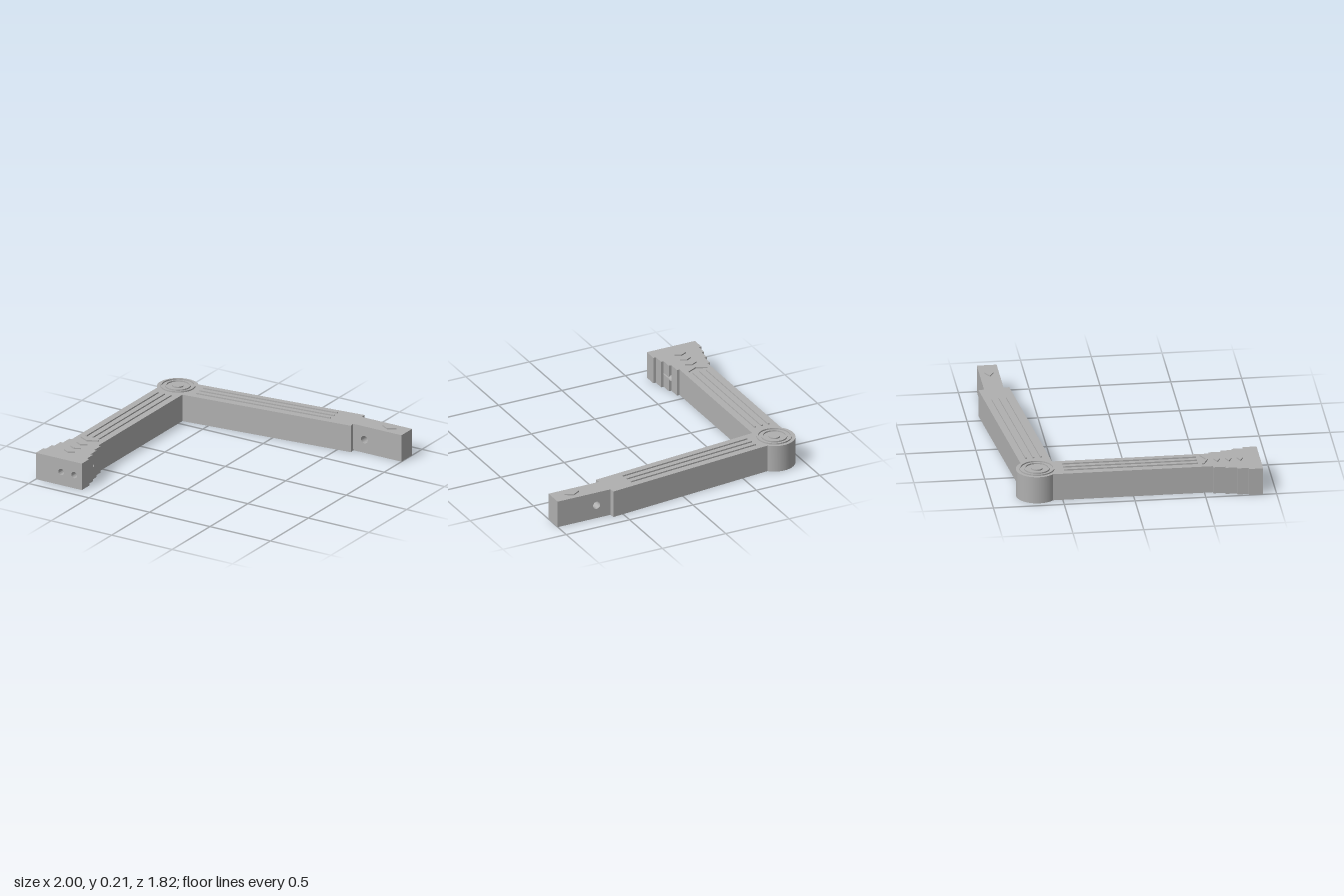
import * as THREE from 'three';
import { toCreasedNormals } from 'three/addons/utils/BufferGeometryUtils.js';

const TOP = 0.2, RELIEF = 0.01;
const JX = -0.812, JZ = -0.67, JR = 0.148; // pivot joint
const CX = -0.81;                          // lower arm centre line

// Stepped foot: half width, start z, end z
const steps = [[0.13, 0.56, 0.645], [0.15, 0.645, 0.725], [0.17, 0.725, 0.805], [0.19, 0.805, 0.905]];

const poly = (pts) => new THREE.Shape(pts.map(([x, y]) => new THREE.Vector2(x, y)));

const disc = (x, y, r, inner = 0) => {
  const s = new THREE.Shape();
  s.absarc(x, y, r, 0, Math.PI * 2, false);
  if (inner) s.holes.push(disc(x, y, inner));
  return s;
};

const diamond = (x, z, a, b) => poly([[x - a, z], [x, z - b], [x + a, z], [x, z + b]]);

// Straight bar between two plan points
function bar(x1, z1, x2, z2, w) {
  const len = Math.hypot(x2 - x1, z2 - z1);
  const nx = -(z2 - z1) / len * w / 2, nz = (x2 - x1) / len * w / 2;
  return poly([[x1 + nx, z1 + nz], [x2 + nx, z2 + nz], [x2 - nx, z2 - nz], [x1 - nx, z1 - nz]]);
}

// Plan outline of joint and arms, optionally with foot and tip
function outline(full) {
  const s = new THREE.Shape();
  s.moveTo(-0.92, 0.56);
  s.lineTo(-0.92, -0.569);
  s.absarc(JX, JZ, JR, 2.39, Math.PI * 2 - 0.76, false);
  s.lineTo(0.58, -0.91);
  if (full) [[0.585, -0.87], [1, -0.87], [1, -0.73], [0.601, -0.73]].forEach((p) => s.lineTo(...p));
  s.lineTo(0.605, -0.69);
  s.lineTo(-0.7, -0.55);
  s.lineTo(-0.7, 0.56);
  if (full) {
    steps.forEach(([h, a, b]) => { s.lineTo(CX + h, a); s.lineTo(CX + h, b); });
    [...steps].reverse().forEach(([h, a, b]) => { s.lineTo(CX - h, b); s.lineTo(CX - h, a); });
  }
  s.closePath();
  return s;
}

export function createModel() {
  const group = new THREE.Group();
  const grey = new THREE.MeshStandardMaterial({ color: 0xb0b0b0 });
  grey.name = 'grey';

  const add = (name, geometry) => {
    const mesh = new THREE.Mesh(toCreasedNormals(geometry, 0.5), grey);
    mesh.name = name;
    group.add(mesh);
  };
  const extrude = (shape, depth) =>
    new THREE.ExtrudeGeometry(shape, { depth, bevelEnabled: false, curveSegments: 40 });
  // Plan shape (x, z) raised between two heights
  const slab = (name, shape, y0, y1) =>
    add(name, extrude(shape, y1 - y0).rotateX(Math.PI / 2).translate(0, y1, 0));
  // Front shape (x, y) running between two depths
  const block = (name, shape, z0, z1) => add(name, extrude(shape, z1 - z0).translate(0, 0, z0));
  const rect = (x0, x1) => poly([[x0, RELIEF], [x1, RELIEF], [x1, TOP], [x0, TOP]]);

  // Ornaments, raised on top and sunk into the underside
  const ornaments = [];
  for (const d of [-0.053, 0, 0.053]) {
    ornaments.push(['lowerArmRib', bar(CX + d, -0.485, CX + d, 0.46, 0.013)]);
    ornaments.push(['upperArmRib', bar(-0.63 + d * 0.1, -0.67 + d, 0.41 + d * 0.1, -0.782 + d, 0.013)]);
  }
  for (const z of [0.6, 0.682, 0.764]) ornaments.push(['footDiamond', diamond(CX, z, 0.045, 0.023)]);
  ornaments.push(['tipDiamond', diamond(0.855, -0.802, 0.058, 0.033)]);
  ornaments.push(['chevron', poly([[CX - 0.073, 0.488], [CX, 0.524], [CX + 0.073, 0.488],
    [CX + 0.073, 0.501], [CX, 0.538], [CX - 0.073, 0.501]])]);
  ornaments.forEach(([name, shape]) => slab(name, shape, TOP, TOP + RELIEF));

  // Rings on the joint
  slab('jointOuterRing', disc(JX, JZ, 0.124, 0.114), TOP, TOP + RELIEF);
  slab('jointInnerRing', disc(JX, JZ, 0.091, 0.08), TOP, TOP + RELIEF);
  slab('jointCentre', disc(JX, JZ, 0.04), TOP, TOP + RELIEF);

  // Underside with matching grooves
  const underside = outline(true);
  underside.holes.push(...ornaments.map((o) => o[1]), disc(JX, JZ, 0.124));
  slab('underside', underside, 0, RELIEF);
  slab('jointUndersideOuter', disc(JX, JZ, 0.114, 0.091), 0, RELIEF);
  slab('jointUndersideInner', disc(JX, JZ, 0.08, 0.04), 0, RELIEF);

  // Joint and both arms
  slab('arms', outline(false), RELIEF, TOP);

  // Stepped foot with two blind pin holes; the inner one just breaks the side of the second step
  const pinR = 0.0235, pins = [-0.79, -0.682];
  steps.forEach(([h, z0, z1], i) => {
    let shape = rect(CX - h, CX + h);
    if (i === 1) {
      const a = Math.acos((CX + h - pins[1]) / pinR);
      shape = new THREE.Shape();
      shape.moveTo(CX - h, RELIEF);
      shape.lineTo(CX + h, RELIEF);
      shape.absarc(pins[1], 0.1, pinR, -a, a, true);
      shape.lineTo(CX + h, TOP);
      shape.lineTo(CX - h, TOP);
      shape.closePath();
      shape.holes.push(disc(pins[0], 0.1, pinR));
    } else if (i > 1) {
      shape.holes.push(...pins.map((x) => disc(x, 0.1, pinR)));
    }
    block('footStep', shape, z0, z1);
  });

  // Narrow tip with a through hole
  const tip = rect(0.58, 1);
  tip.holes.push(disc(0.693, 0.1, 0.028));
  block('tip', tip, -0.87, -0.73);

  return group;
}
